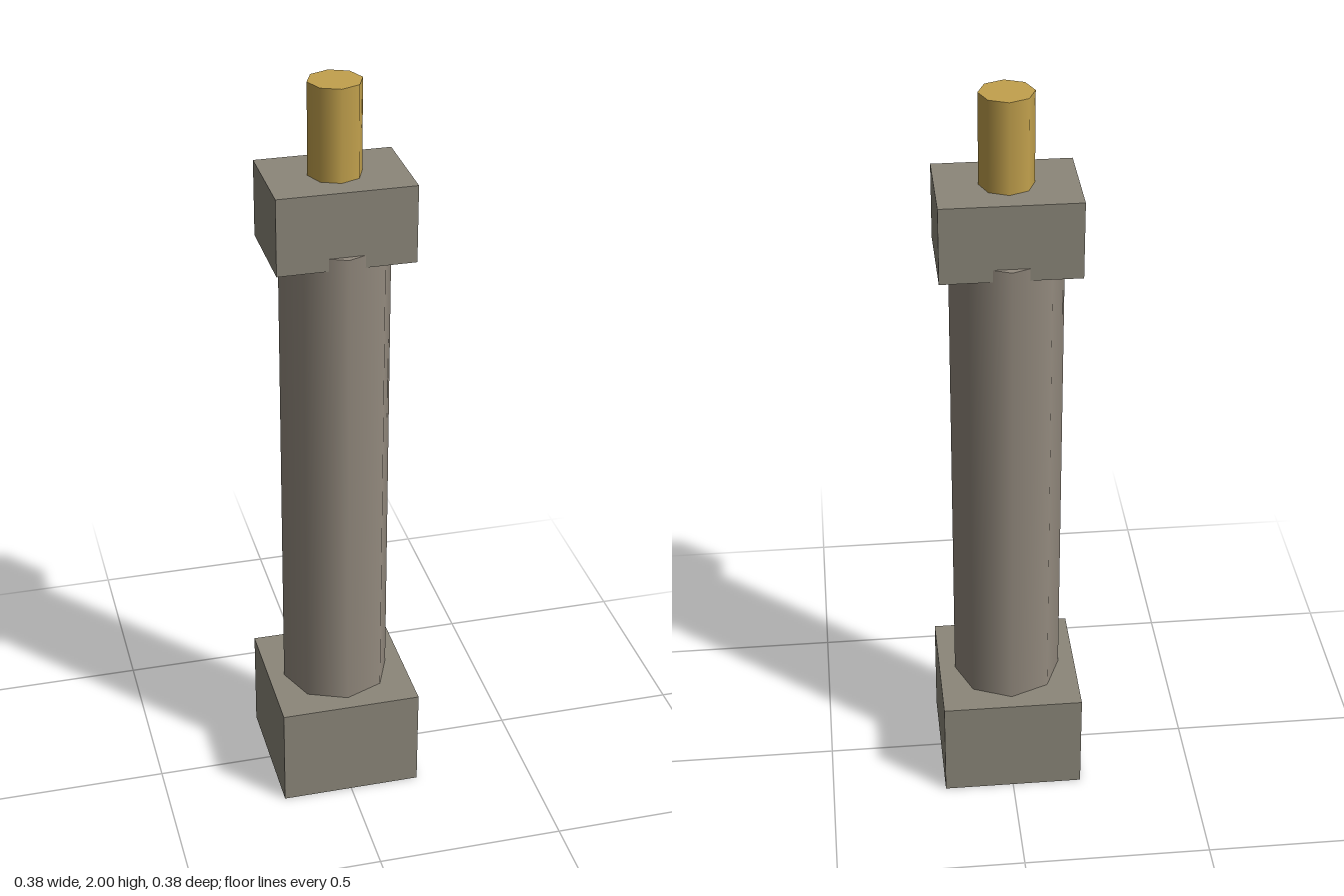
import * as THREE from 'three';

export function createModel() {
  const group = new THREE.Group();
  const material = (name, color) => {
    const m = new THREE.MeshStandardMaterial({ color });
    m.name = name;
    return m;
  };
  const stone = material('grey stone', 0x8c877a);
  const shaftStone = material('warm grey stone', 0x938a7e);
  const brass = material('brass', 0xc2a14d);

  // Adds a part whose underside sits at the given height
  const add = (name, geometry, mat, bottom, height) => {
    const mesh = new THREE.Mesh(geometry, mat);
    mesh.name = name;
    mesh.position.y = bottom + height / 2;
    group.add(mesh);
  };
  const block = (name, w, d, bottom, h) =>
    add(name, new THREE.BoxGeometry(w, h, d), stone, bottom, h);
  // Eight-sided, smooth-shaded post with corners on the axes
  const post = (name, r, mat, bottom, h) =>
    add(name, new THREE.CylinderGeometry(r, r, h, 8), mat, bottom, h);

  block('base', 0.377, 0.377, 0, 0.28);
  post('column', 0.145, shaftStone, 0.27, 1.323);
  block('capBlock', 0.353, 0.252, 1.56, 0.202);
  post('topPin', 0.069, brass, 1.75, 0.25);

  return group;
}
